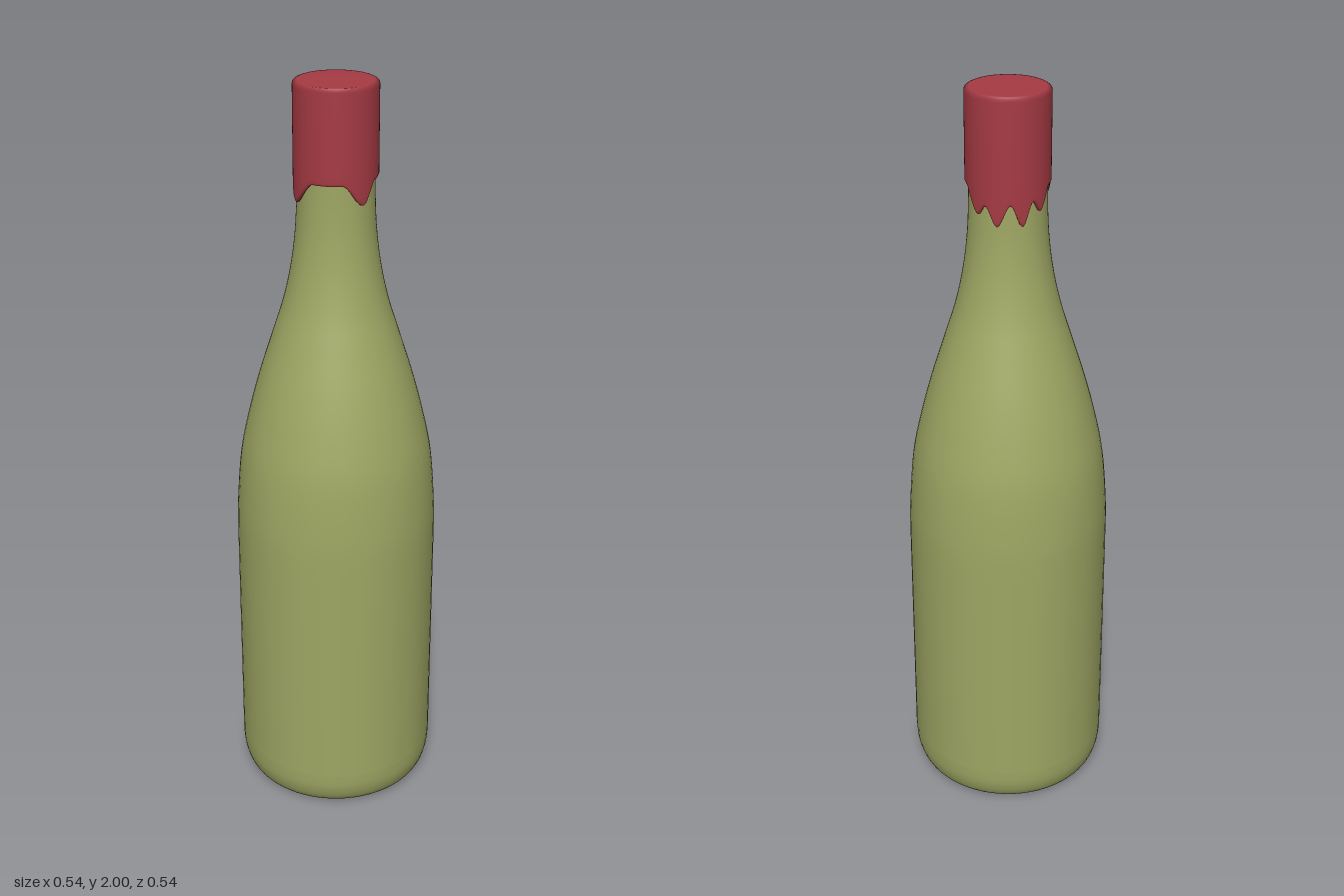
import * as THREE from 'three';

const glass = new THREE.MeshStandardMaterial({ color: 0x9ea663, side: THREE.DoubleSide });
const wax = new THREE.MeshStandardMaterial({ color: 0xa63a43, side: THREE.DoubleSide });

// Lower edge of the wax: [angle in degrees from the front towards +x, height]
const drips = [
  [-22, 1.70], [18, 1.76], [58, 1.76], [90, 1.705], [116, 1.76], [148, 1.76], [176, 1.70],
  [188, 1.725], [206, 1.675], [224, 1.73], [241, 1.675], [257, 1.735], [270, 1.705],
  [290, 1.76], [312, 1.76], [338, 1.70],
];

function edgeHeight(deg) {
  const a = deg > 338 ? deg - 360 : deg;
  const i = drips.findIndex((d, k) => k > 0 && a <= d[0]);
  const [a0, y0] = drips[i - 1], [a1, y1] = drips[i];
  return THREE.MathUtils.lerp(y0, y1, THREE.MathUtils.smoothstep(a, a0, a1));
}

// Bottle with rounded foot, hollow base and long sloping shoulders
function createBottle() {
  const foot = new THREE.SplineCurve([
    [0, 0.11], [0.08, 0.1], [0.15, 0.07], [0.195, 0.025], [0.222, 0.001], [0.25, 0.018], [0.266, 0.06], [0.27, 0.11],
  ].map(p => new THREE.Vector2(...p))).getPoints(36);
  const body = new THREE.SplineCurve([
    [0.27, 0.75], [0.268, 0.85], [0.255, 1], [0.23, 1.12], [0.2, 1.23], [0.165, 1.34], [0.137, 1.43],
    [0.117, 1.52], [0.105, 1.61], [0.1, 1.7], [0.099, 1.8],
  ].map(p => new THREE.Vector2(...p))).getPoints(50);
  foot[0].x = 0;
  const mesh = new THREE.Mesh(new THREE.LatheGeometry([...foot, ...body], 64), glass);
  mesh.name = 'bottle';
  return mesh;
}

// Wax cap: a lathe whose lower rows are pulled to the dripping edge
function createWaxCap() {
  const r = 0.108, wall = 16;
  const points = [new THREE.Vector2(0.096, 0), new THREE.Vector2(0.105, 0)];
  for (let i = 0; i <= wall; i++) points.push(new THREE.Vector2(r, 0.03 + 0.93 * i / wall));
  for (let i = 1; i <= 5; i++) {
    const t = i / 5 * Math.PI / 2;
    points.push(new THREE.Vector2(r - 0.012 * (1 - Math.cos(t)), 0.96 + 0.04 * Math.sin(t)));
  }
  points.push(new THREE.Vector2(0, 1));
  const geometry = new THREE.LatheGeometry(points, 144);
  const pos = geometry.attributes.position;
  const rows = points.length;
  for (let i = 0; i < pos.count; i++) {
    const low = edgeHeight(Math.floor(i / rows) * 2.5);
    pos.setY(i, THREE.MathUtils.lerp(low, 2, pos.getY(i)));
  }
  const mesh = new THREE.Mesh(geometry, wax);
  mesh.name = 'waxCap';
  return mesh;
}

export function createModel() {
  const model = new THREE.Group();
  model.name = 'sealedBottle';
  model.add(createBottle(), createWaxCap());
  return model;
}
